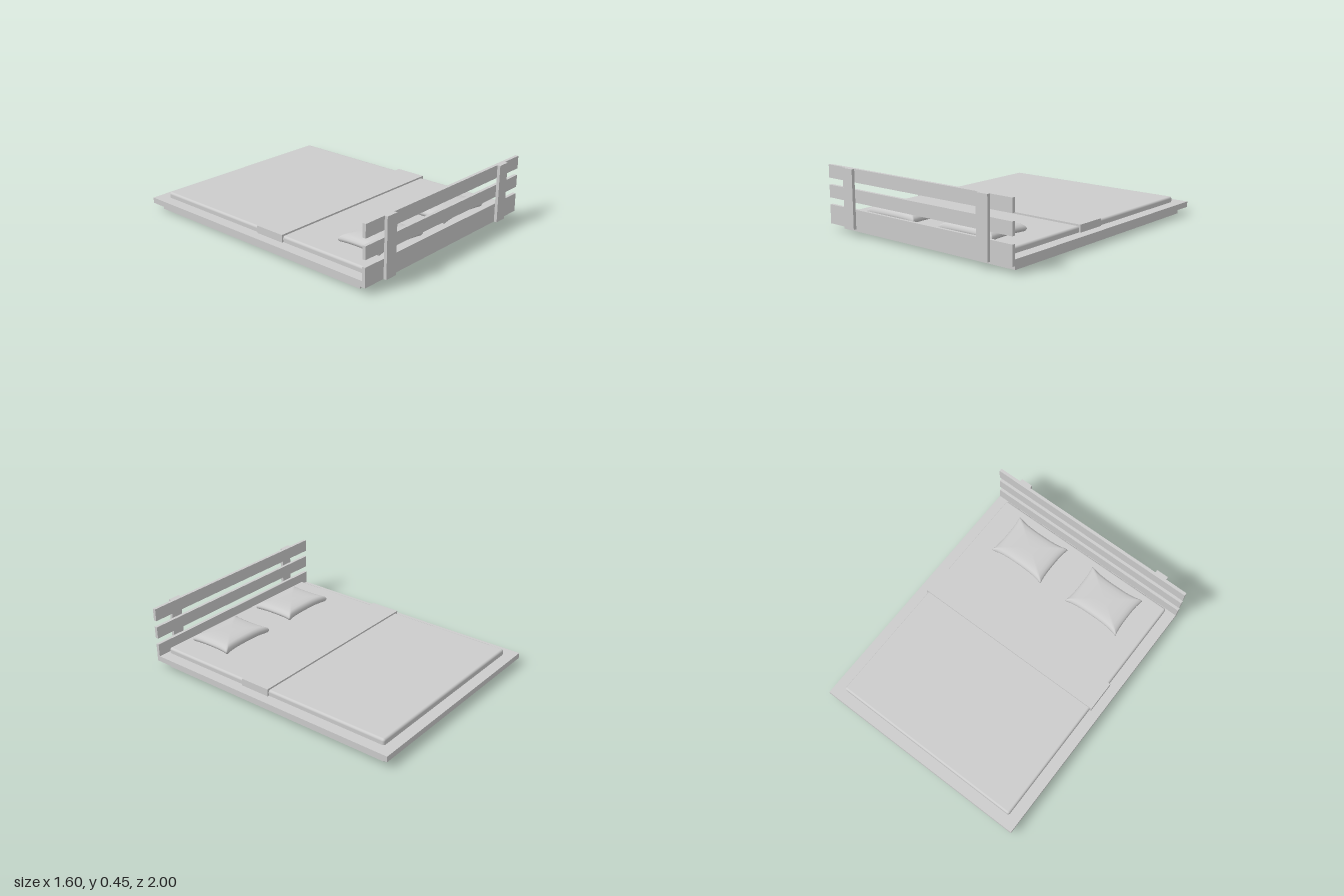
import * as THREE from 'three';
import { RoundedBoxGeometry } from 'three/addons/geometries/RoundedBoxGeometry.js';

const grey = new THREE.MeshStandardMaterial({ color: 0xcccccc });
grey.name = 'plain grey';

function add(group, name, geometry, x = 0, y = 0, z = 0) {
  const mesh = new THREE.Mesh(geometry, grey);
  mesh.name = name;
  mesh.position.set(x, y, z);
  group.add(mesh);
  return mesh;
}

// Box given by its limits on each axis
function block(group, name, [x0, x1], [y0, y1], [z0, z1]) {
  return add(group, name, new THREE.BoxGeometry(x1 - x0, y1 - y0, z1 - z0),
    (x0 + x1) / 2, (y0 + y1) / 2, (z0 + z1) / 2);
}

// Cushion with pinched sides and pointed corners, built from stacked loops
function pillowGeometry(halfX, halfZ) {
  const steps = 12;
  const rings = [ // scale, height, amount of pinch
    [0.88, 0, 0.9], [0.96, 0.006, 1], [1, 0.018, 1], [0.995, 0.028, 1], [0.96, 0.039, 0.95],
    [0.88, 0.049, 0.8], [0.76, 0.056, 0.5], [0.55, 0.061, 0.2], [0.3, 0.063, 0], [0.001, 0.063, 0],
  ];
  const n = steps * 4;
  const positions = [];
  const indices = [];
  for (const [scale, y, pinch] of rings) {
    for (let side = 0; side < 4; side++) {
      for (let i = 0; i < steps; i++) {
        const t = 0.96 * Math.sin((i / (steps - 1) - 0.5) * Math.PI);
        const depth = (side % 2 ? 0.15 : 0.07) * pinch * (1 - Math.abs(t) ** 3);
        const out = 1 - depth;
        const [u, v] = [[out, t], [-t, out], [-out, -t], [t, -out]][side];
        positions.push(u * halfX * scale, y, v * halfZ * scale);
      }
    }
  }
  for (let j = 0; j < rings.length - 1; j++) {
    for (let i = 0; i < n; i++) {
      const a = j * n + i;
      const b = j * n + (i + 1) % n;
      indices.push(a, a + n, b, b, a + n, b + n);
    }
  }
  const geometry = new THREE.BufferGeometry();
  geometry.setAttribute('position', new THREE.Float32BufferAttribute(positions, 3));
  geometry.setIndex(indices);
  geometry.computeVertexNormals();
  return geometry;
}

export function createModel() {
  const bed = new THREE.Group();
  bed.name = 'bed';

  // Recessed plinth and platform
  block(bed, 'plinth', [-0.755, 0.755], [0, 0.045], [-0.945, 0.9]);
  block(bed, 'platform', [-0.8, 0.8], [0.045, 0.085], [-1, 0.955]);

  // Mattress, its lower rounding sunk into the platform
  add(bed, 'mattress', new RoundedBoxGeometry(1.44, 0.06, 1.86, 4, 0.016), 0, 0.095, 0.01);

  // Folded throw across the mattress
  block(bed, 'throw', [-0.732, 0.732], [0.085, 0.137], [0.002, 0.228]);

  // Headboard slats and posts
  const headboard = new THREE.Group();
  headboard.name = 'headboard';
  bed.add(headboard);
  for (const heights of [[0.045, 0.177], [0.225, 0.312], [0.36, 0.45]]) {
    block(headboard, 'slat', [-0.8, 0.8], heights, [0.955, 0.978]);
  }
  for (const side of [-1, 1]) {
    const post = block(headboard, 'post', [-0.045, 0.045], [0.045, 0.45], [0.978, 1]);
    post.position.x = side * 0.587;
  }

  // Pillows
  const pillow = pillowGeometry(0.223, 0.17);
  for (const side of [-1, 1]) add(bed, 'pillow', pillow, side * 0.332, 0.124, 0.708);

  return bed;
}
